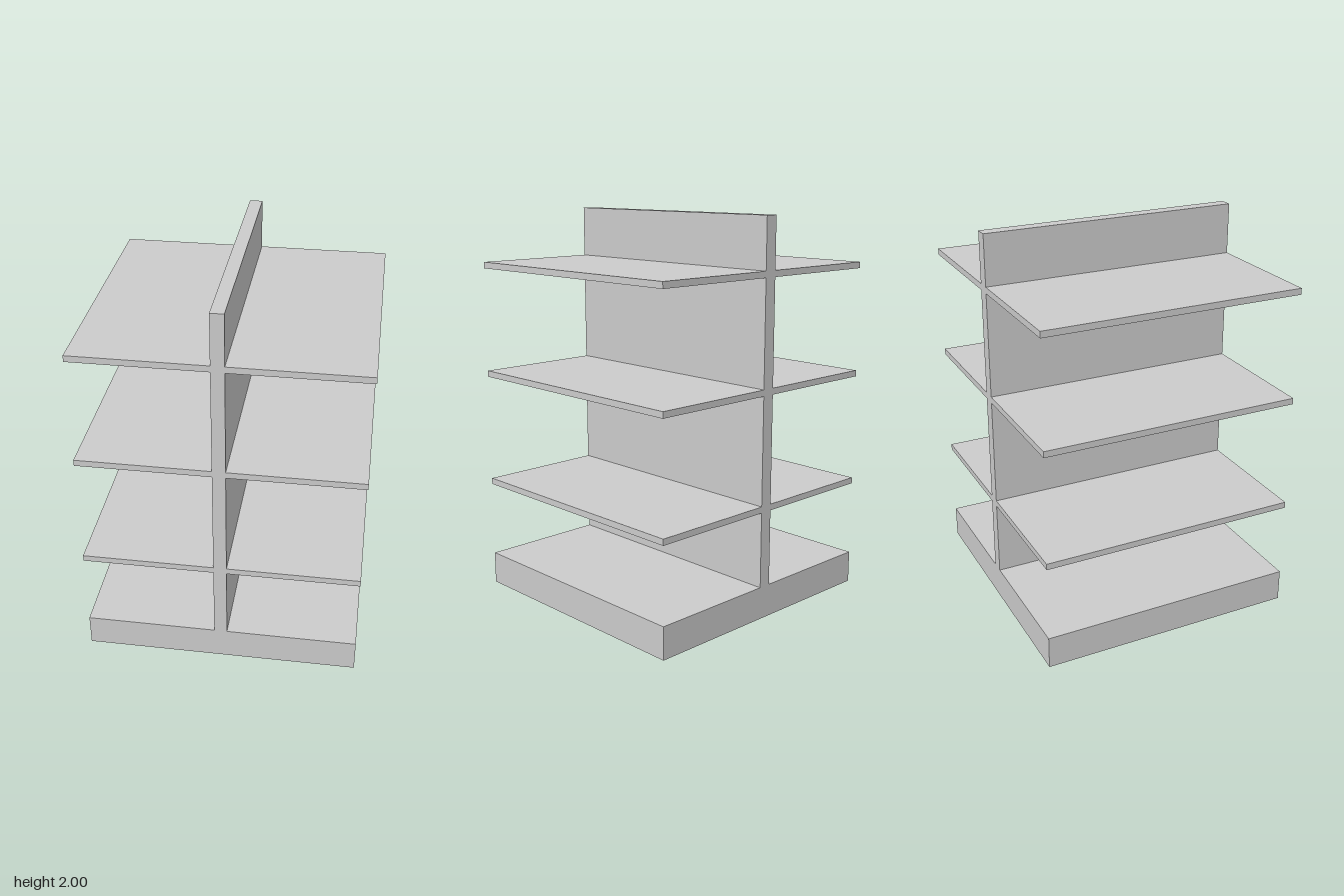
import * as THREE from 'three';

const HALF_WIDTH = 0.699;
const DEPTH = 1.333;
const BASE_HEIGHT = 0.167;
const HALF_PANEL = 0.033;
const SHELF_THICKNESS = 0.032;
const SHELF_HEIGHTS = [0.573, 1.159, 1.726];

export function createModel() {
  const model = new THREE.Group();
  model.name = 'doubleSidedShelf';
  const material = new THREE.MeshStandardMaterial({ color: 0xcccccc });

  // Full-depth box spanning x0..x1 and y0..y1
  function addBox(name, x0, x1, y0, y1) {
    const mesh = new THREE.Mesh(new THREE.BoxGeometry(x1 - x0, y1 - y0, DEPTH), material);
    mesh.position.set((x0 + x1) / 2, (y0 + y1) / 2, 0);
    mesh.name = name;
    model.add(mesh);
  }

  // Solid plinth and central upright panel
  addBox('base', -HALF_WIDTH, HALF_WIDTH, 0, BASE_HEIGHT);
  addBox('centrePanel', -HALF_PANEL, HALF_PANEL, BASE_HEIGHT, 2);

  // Thin shelves butting against both faces of the panel
  SHELF_HEIGHTS.forEach((y, i) => {
    const y0 = y - SHELF_THICKNESS / 2;
    const y1 = y + SHELF_THICKNESS / 2;
    addBox(`leftShelf${i + 1}`, HALF_PANEL, HALF_WIDTH, y0, y1);
    addBox(`rightShelf${i + 1}`, -HALF_WIDTH, -HALF_PANEL, y0, y1);
  });

  return model;
}
